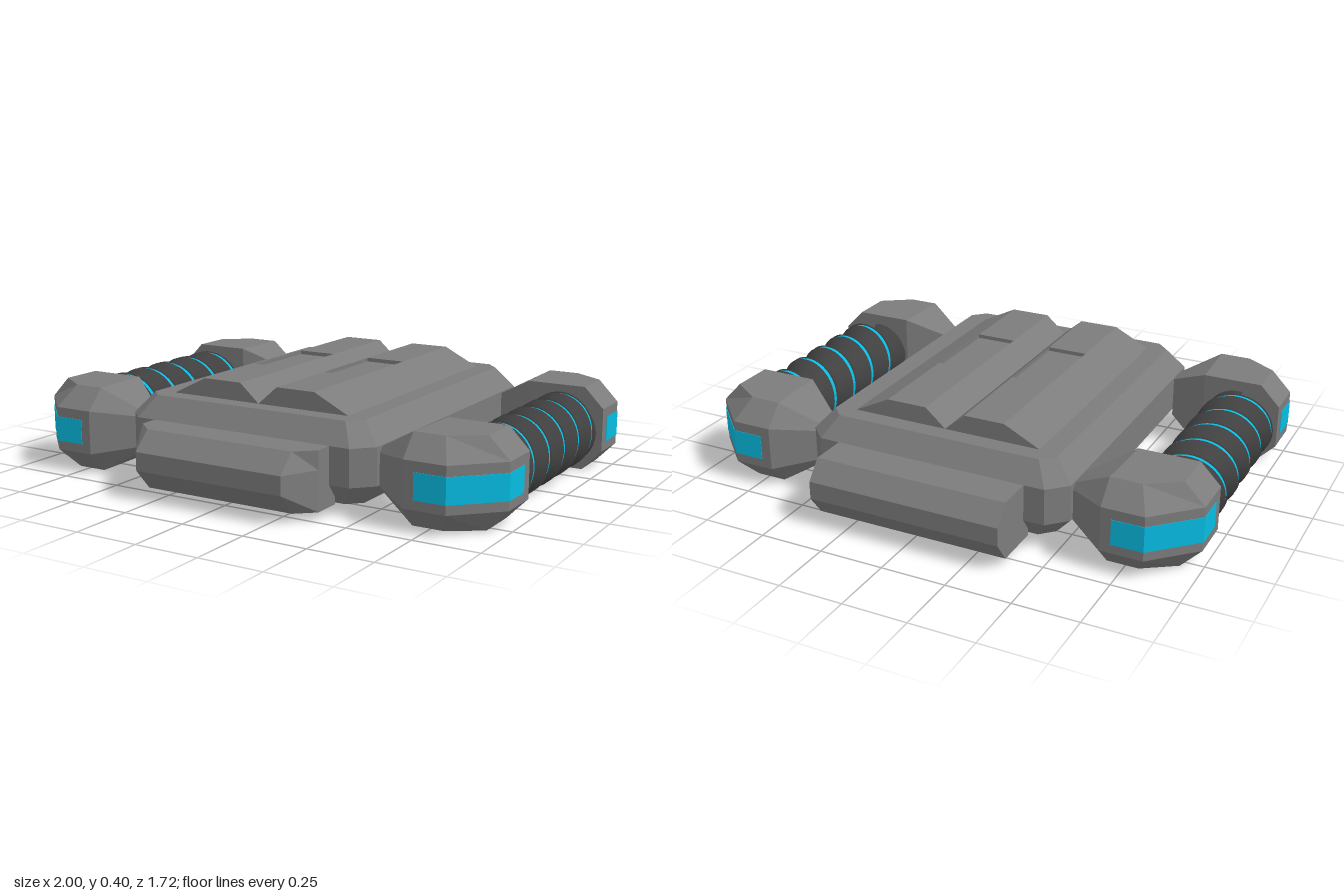
import * as THREE from 'three';

const grey = new THREE.MeshStandardMaterial({ color: 0x7c7c7c });
grey.name = 'hull grey';
const dark = new THREE.MeshStandardMaterial({ color: 0x434343, side: THREE.DoubleSide });
dark.name = 'coil dark grey';
const blue = new THREE.MeshStandardMaterial({ color: 0x06bbe2, side: THREE.DoubleSide });
blue.name = 'glow blue';

function named(name, geometry, material) {
  const mesh = new THREE.Mesh(geometry, material);
  mesh.name = name;
  return mesh;
}

// Closed faceted solid through rings of equal length, wound outward
function loft(rings) {
  const n = rings[0].length;
  const tris = [];
  for (let r = 0; r < rings.length - 1; r++) {
    const a = rings[r], b = rings[r + 1];
    for (let i = 0; i < n; i++) {
      const j = (i + 1) % n;
      tris.push([a[i], a[j], b[j]], [a[i], b[j], b[i]]);
    }
  }
  const first = rings[0], last = rings[rings.length - 1];
  for (let i = 1; i < n - 1; i++) {
    tris.push([first[0], first[i + 1], first[i]], [last[0], last[i], last[i + 1]]);
  }
  const solid = tris
    .map((t) => t.map((p) => new THREE.Vector3(...p)))
    .filter(([a, b, c]) => b.clone().sub(a).cross(c.clone().sub(a)).length() > 1e-7);
  const volume = solid.reduce((v, [a, b, c]) => v + a.dot(b.clone().cross(c)), 0);
  const points = solid.flatMap(([a, b, c]) => (volume > 0 ? [a, b, c] : [a, c, b]));
  const geometry = new THREE.BufferGeometry().setFromPoints(points);
  geometry.computeVertexNormals();
  return geometry;
}

// Level rectangle with cut corners
function octagon(hx, hz, cut, y) {
  const x = hx - cut, z = hz - cut;
  return [[hx, z], [x, hz], [-x, hz], [-hx, z], [-hx, -z], [-x, -hz], [x, -hz], [hx, -z]]
    .map(([px, pz]) => [px, y, pz]);
}

// Level outline of the front block, its nose reaching to z
const noseOutline = (z, y) =>
  [[0.38, 0.62], [0.38, 0.73], [0.31, z], [-0.31, z], [-0.38, 0.73], [-0.38, 0.62]]
    .map(([px, pz]) => [px, y, pz]);

// Upright rectangle across the width
const upright = (hx, y0, y1, z) => [[-hx, y0, z], [hx, y0, z], [hx, y1, z], [-hx, y1, z]];

function hull() {
  const group = new THREE.Group();
  group.name = 'hull';
  // The first two rings form the hollow underside
  group.add(named('body', loft([
    octagon(0.45, 0.59, 0.05, 0.17),
    octagon(0.46, 0.60, 0.05, 0.03),
    octagon(0.53, 0.66, 0.07, 0.11),
    octagon(0.53, 0.66, 0.07, 0.25),
    octagon(0.46, 0.60, 0.05, 0.33),
  ]), grey));
  group.add(named('frontBlock', loft([
    noseOutline(0.79, 0.03),
    noseOutline(0.86, 0.11),
    noseOutline(0.86, 0.18),
    noseOutline(0.79, 0.25),
  ]), grey));
  group.add(named('backBlock', loft([
    upright(0.38, 0.03, 0.25, -0.62),
    upright(0.38, 0.03, 0.25, -0.80),
    upright(0.38, 0.11, 0.18, -0.86),
  ]), grey));
  return group;
}

// Raised top ridge, with a shallow sunken panel in its middle stretch
function ridge(side) {
  const group = new THREE.Group();
  group.name = side > 0 ? 'leftRidge' : 'rightRidge';
  const plain = [[0, 0.32], [0.38, 0.32], [0.38, 0.33], [0.24, 0.40], [0.08, 0.40], [0, 0.33]];
  const sunken = [...plain.slice(0, 4), [0.24, 0.385], [0.08, 0.385], ...plain.slice(4)];
  for (const [name, profile, z0, z1] of [
    ['ridgeBack', plain, -0.53, -0.14],
    ['ridgePanel', sunken, -0.14, 0.20],
    ['ridgeFront', plain, 0.20, 0.53],
  ]) {
    const shape = new THREE.Shape(profile.map(([x, y]) => new THREE.Vector2(side * x, y)));
    const geometry = new THREE.ExtrudeGeometry(shape, { depth: z1 - z0, bevelEnabled: false });
    geometry.translate(0, 0, z0);
    group.add(named(name, geometry, grey));
  }
  return group;
}

// Corner pod sweeping from the coil round to the hull, with a wrapped window
function pod(sx, sz) {
  const group = new THREE.Group();
  group.name = (sz > 0 ? 'front' : 'back') + (sx > 0 ? 'Left' : 'Right') + 'Pod';
  const section = (outer, top, inner, half = 0.165, wall = 0.085) =>
    [[outer, wall], [top, half], [inner, half], [inner, -half], [top, -half], [outer, -wall]]
      .map(([[x, z], h]) => [sx * x, 0.165 + h, sz * z]);
  const pivot = [0.69, 0.365];
  group.add(named('podShell', loft([
    section([0.998, 0.365], [0.92, 0.365], pivot),
    section([0.998, 0.53], [0.92, 0.53], pivot),
    section([0.84, 0.685], [0.80, 0.61], pivot),
    section([0.68, 0.685], [0.68, 0.61], pivot),
    section([0.53, 0.57], [0.53, 0.55], [0.53, 0.46], 0.08, 0.06),
  ]), grey));

  // Thin window plate over the three outer faces
  const e = 0.002;
  const face = [[0.998, 0.41], [0.998, 0.53], [0.84, 0.685], [0.72, 0.685]];
  const lift = [[e, 0], [e, e / 2], [e / 2, e], [0, e]];
  group.add(named('podWindow', loft(face.map(([x, z], i) => {
    const out = [x + lift[i][0], z + lift[i][1]];
    const inn = [x - lift[i][0], z - lift[i][1]];
    return [[out, 0.115], [out, 0.212], [inn, 0.212], [inn, 0.115]]
      .map(([[px, pz], y]) => [sx * px, y, sz * pz]);
  })), blue));
  return group;
}

// Helical band between two offsets along the screw, each with its own radius
function helixBand(side, [offA, radA], [offB, radB]) {
  const pitch = 0.143, turns = 6, perTurn = 40;
  const positions = [], index = [];
  for (let i = 0; i <= turns * perTurn; i++) {
    const turn = i / perTurn;
    const angle = Math.PI / 2 + turn * Math.PI * 2;
    for (const [off, rad] of [[offA, radA], [offB, radB]]) {
      positions.push(
        side * (0.847 + rad * Math.cos(angle)),
        0.165 + rad * Math.sin(angle),
        0.413 + pitch * (off - turn));
    }
    if (i < turns * perTurn) {
      const a = i * 2;
      if (side > 0) index.push(a, a + 2, a + 1, a + 1, a + 2, a + 3);
      else index.push(a, a + 1, a + 2, a + 1, a + 3, a + 2);
    }
  }
  const geometry = new THREE.BufferGeometry();
  geometry.setAttribute('position', new THREE.Float32BufferAttribute(positions, 3));
  geometry.setIndex(index);
  geometry.computeVertexNormals();
  return geometry;
}

// Threaded coil: dark flanks with a glowing strip set into the crest
function coil(side) {
  const group = new THREE.Group();
  group.name = side > 0 ? 'leftCoil' : 'rightCoil';
  const root = 0.105, crest = 0.147, groove = 0.142;
  const profile = [
    [-0.5, root], [-0.09, crest], [-0.07, groove],
    [0.07, groove], [0.09, crest], [0.5, root],
  ];
  const bands = ['backFlank', 'backLip', 'glowStrip', 'frontLip', 'frontFlank'];
  bands.forEach((name, i) => group.add(named(
    name, helixBand(side, profile[i], profile[i + 1]), name === 'glowStrip' ? blue : dark)));
  return group;
}

export function createModel() {
  const model = new THREE.Group();
  model.name = 'coilCraft';
  model.add(hull());
  for (const side of [1, -1]) {
    model.add(ridge(side), coil(side), pod(side, 1), pod(side, -1));
  }
  return model;
}
